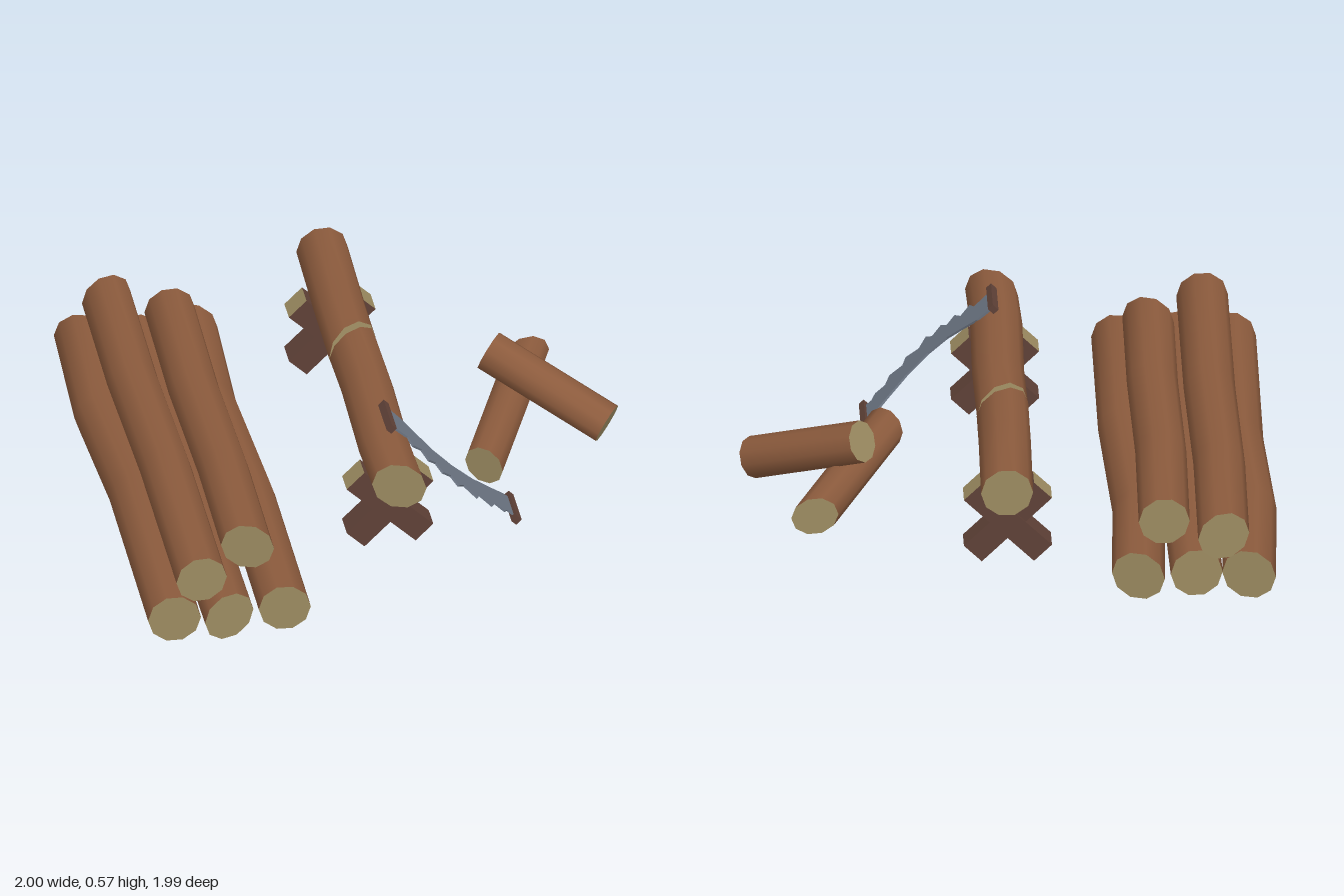
import * as THREE from 'three';

const mat = (name, color, extra = {}) => {
  const m = new THREE.MeshStandardMaterial({ color, ...extra });
  m.name = name;
  return m;
};

// Log swept through rings; startShift / endShift(c, s) slide the end rim along the axis for slanted cuts
function logGeometry(path, radius, startShift, endShift, sides = 10) {
  const pts = path.map(p => new THREE.Vector3(...p));
  const last = pts.length - 1;
  const axis = pts[last].clone().sub(pts[0]).normalize();
  const u = new THREE.Vector3(0, 1, 0).cross(axis).normalize();
  const v = axis.clone().cross(u);
  const rings = pts.map((p, i) => Array.from({ length: sides }, (_, j) => {
    const a = (j / sides) * Math.PI * 2;
    const c = Math.cos(a), s = Math.sin(a);
    const shift = i === 0 ? startShift(c, s) : i === last ? endShift(c, s) : 0;
    return p.clone().addScaledVector(u, c * radius).addScaledVector(v, s * radius).addScaledVector(axis, shift);
  }));
  const pos = [], index = [];
  const push = p => pos.push(p.x, p.y, p.z) / 3 - 1;

  // bark
  rings.flat().forEach(push);
  for (let i = 0; i < last; i++) {
    for (let j = 0; j < sides; j++) {
      const k = (j + 1) % sides;
      const a = i * sides + j, b = i * sides + k;
      index.push(a, b, b + sides, a, b + sides, a + sides);
    }
  }
  const barkCount = index.length;

  // sawn ends
  for (let j = 0; j < sides; j++) {
    const k = (j + 1) % sides;
    index.push(push(pts[0]), push(rings[0][k]), push(rings[0][j]));
    index.push(push(pts[last]), push(rings[last][j]), push(rings[last][k]));
  }
  const g = new THREE.BufferGeometry();
  g.setAttribute('position', new THREE.Float32BufferAttribute(pos, 3));
  g.setIndex(index);
  g.addGroup(0, barkCount, 0);
  g.addGroup(barkCount, index.length - barkCount, 1);
  g.computeVertexNormals();
  return g;
}

export function createModel() {
  const bark = mat('bark', 0x8c5b3d);
  const cutWood = mat('cutWood', 0x9c8b61);
  const darkWood = mat('darkWood', 0x5f4137);
  const steel = mat('steel', 0x6c7583);

  const model = new THREE.Group();
  const tilt = t => c => t * c;
  const addLog = (parent, name, path, r, start, end) => {
    const shift = t => (typeof t === 'function' ? t : tilt(t));
    const mesh = new THREE.Mesh(logGeometry(path, r, shift(start), shift(end)), [bark, cutWood]);
    mesh.name = name;
    parent.add(mesh);
  };

  // Stacked logs
  const pile = new THREE.Group();
  pile.name = 'logPile';
  model.add(pile);
  addLog(pile, 'bottomLogOuter',
    [[-0.875, 0.105, -0.975], [-0.9, 0.1, -0.45], [-0.873, 0.105, 0.1], [-0.88, 0.1, 0.94]], 0.1, 0.025, 0.005);
  addLog(pile, 'bottomLogMiddle',
    [[-0.68, 0.1, -0.945], [-0.67, 0.1, -0.4], [-0.68, 0.102, 0.2], [-0.675, 0.1, 0.96]], 0.098, -0.008, -0.03);
  addLog(pile, 'bottomLogInner',
    [[-0.46, 0.105, -0.97], [-0.482, 0.1, -0.45], [-0.455, 0.103, 0.2], [-0.46, 0.1, 0.943]], 0.098, 0.03, 0.008);
  addLog(pile, 'topLogOuter',
    [[-0.78, 0.27, -0.975], [-0.787, 0.268, -0.4], [-0.775, 0.272, 0.2], [-0.778, 0.27, 0.948]], 0.097, -0.025, -0.004);
  addLog(pile, 'topLogInner',
    [[-0.562, 0.27, -0.85], [-0.572, 0.268, -0.3], [-0.563, 0.272, 0.25], [-0.568, 0.27, 0.762]], 0.096, -0.003, 0.03);

  // Log being sawn: two halves meeting at a slanted V notch
  const work = new THREE.Group();
  work.name = 'workLog';
  model.add(work);
  const notch = side => (c, s) => -0.055 * c + side * 0.02 * Math.max(0, s);
  addLog(work, 'workLogBack',
    [[0.03, 0.433, -0.905], [0.022, 0.432, -0.5], [0.02, 0.432, -0.235]], 0.098, -0.003, notch(-1));
  addLog(work, 'workLogFront',
    [[0.02, 0.432, -0.235], [0.024, 0.432, 0.05], [0.015, 0.43, 0.45], [0.022, 0.43, 0.703]], 0.098, notch(1), 0.032);

  // Loose logs
  addLog(model, 'looseLogLying', [[0.44, 0.137, 0.2], [0.735, 0.137, -0.505]], 0.077, 0.023, -0.047);
  addLog(model, 'looseLogLeaning', [[0.548, 0.328, -0.275], [0.948, 0.127, -0.005]], 0.08, 0, 0);

  // Crossed trestles with pale end grain
  const boardMats = [darkWood, darkWood, cutWood, cutWood, darkWood, darkWood];
  for (const [name, z] of [['backTrestle', -0.69], ['frontTrestle', 0.48]]) {
    const trestle = new THREE.Group();
    trestle.name = name;
    trestle.position.set(0.02, 0.22, z);
    for (const side of [-1, 1]) {
      const board = new THREE.Mesh(new THREE.BoxGeometry(0.095, 0.372, side > 0 ? 0.092 : 0.1), boardMats);
      board.name = side > 0 ? 'leftFootBoard' : 'rightFootBoard';
      board.rotation.z = side * Math.PI / 4;
      trestle.add(board);
    }
    model.add(trestle);
  }

  // Two-handled saw leaning against the log
  const saw = new THREE.Group();
  saw.name = 'saw';
  saw.position.set(0.27, 0.315, 0);
  saw.rotation.z = -Math.PI / 4;
  model.add(saw);

  const along = x => (x - 0.27) * Math.SQRT2;
  const teeth = [[0.03, 0.48], [0.095, 0.475], [0.11, 0.515], [0.145, 0.495], [0.165, 0.54], [0.195, 0.52],
    [0.215, 0.558], [0.25, 0.535], [0.272, 0.573], [0.3, 0.533], [0.348, 0.556], [0.362, 0.517],
    [0.41, 0.53], [0.428, 0.487], [0.465, 0.492], [0.48, 0.465], [0.51, 0.47]];
  const spine = [[0.51, 0.345], [0.48, 0.352], [0.42, 0.388], [0.35, 0.424], [0.27, 0.44],
    [0.2, 0.428], [0.14, 0.392], [0.09, 0.358], [0.03, 0.345]];
  const outline = new THREE.Shape([...teeth, ...spine].map(([x, z]) => new THREE.Vector2(along(x), z)));
  const bladeGeo = new THREE.ExtrudeGeometry(outline, { depth: 0.008, bevelEnabled: false });
  bladeGeo.translate(0, 0, -0.004).rotateX(Math.PI / 2);
  const blade = new THREE.Mesh(bladeGeo, steel);
  blade.name = 'sawBlade';
  saw.add(blade);

  for (const [name, a, z] of [['sawHandleTop', -0.338, 0.418], ['sawHandleBottom', 0.338, 0.409]]) {
    const handle = new THREE.Mesh(new THREE.BoxGeometry(0.026, 0.03, 0.172), darkWood);
    handle.name = name;
    handle.position.set(a, 0, z);
    saw.add(handle);
  }
  return model;
}
